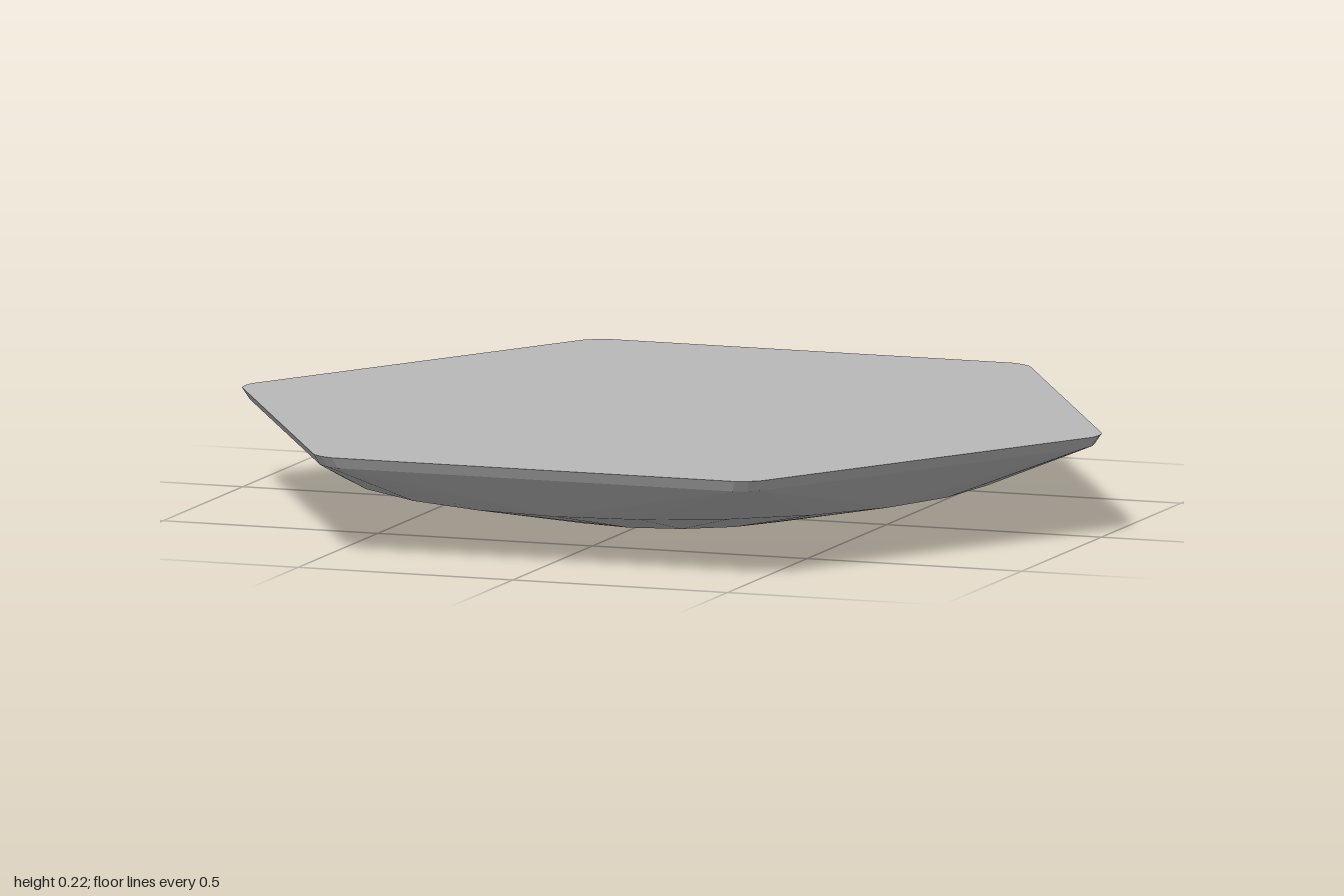
import * as THREE from 'three';
import { ConvexGeometry } from 'three/addons/geometries/ConvexGeometry.js';

// Hexagon outline with small blunted corners
function hexagon(radius, y, cut) {
  const points = [];
  const corner = (i) => new THREE.Vector3(
    radius * Math.cos(i * Math.PI / 3), y, radius * Math.sin(i * Math.PI / 3));
  for (let i = 0; i < 6; i++) {
    const c = corner(i);
    const a = c.clone().lerp(corner(i + 5), cut / radius);
    const b = c.clone().lerp(corner(i + 1), cut / radius);
    const mid = a.clone().add(b).multiplyScalar(0.5).lerp(c, 0.3);
    points.push(a, mid, b);
  }
  return points;
}

// Many-sided ring for the rounded underside
function ring(radius, y, sides, x = 0, z = 0) {
  return Array.from({ length: sides }, (_, i) => {
    const t = i / sides * Math.PI * 2;
    return new THREE.Vector3(x + radius * Math.cos(t), y, z + radius * Math.sin(t));
  });
}

export function createModel() {
  const group = new THREE.Group();
  group.name = 'hexagonalTile';

  const stone = new THREE.MeshStandardMaterial({ color: 0xb8b8b8 });
  stone.name = 'stone grey';

  // Flat top, thin bevelled rim, then a faceted bowl down to an off-centre foot
  const tile = new THREE.Mesh(new ConvexGeometry([
    ...hexagon(1.008, 0.225, 0.035),
    ...hexagon(0.99, 0.2, 0.035),
    ...ring(0.735, 0.1, 24),
    ...ring(0.305, 0, 16, -0.015, -0.07),
  ]), stone);
  tile.name = 'tile';
  group.add(tile);
  return group;
}
